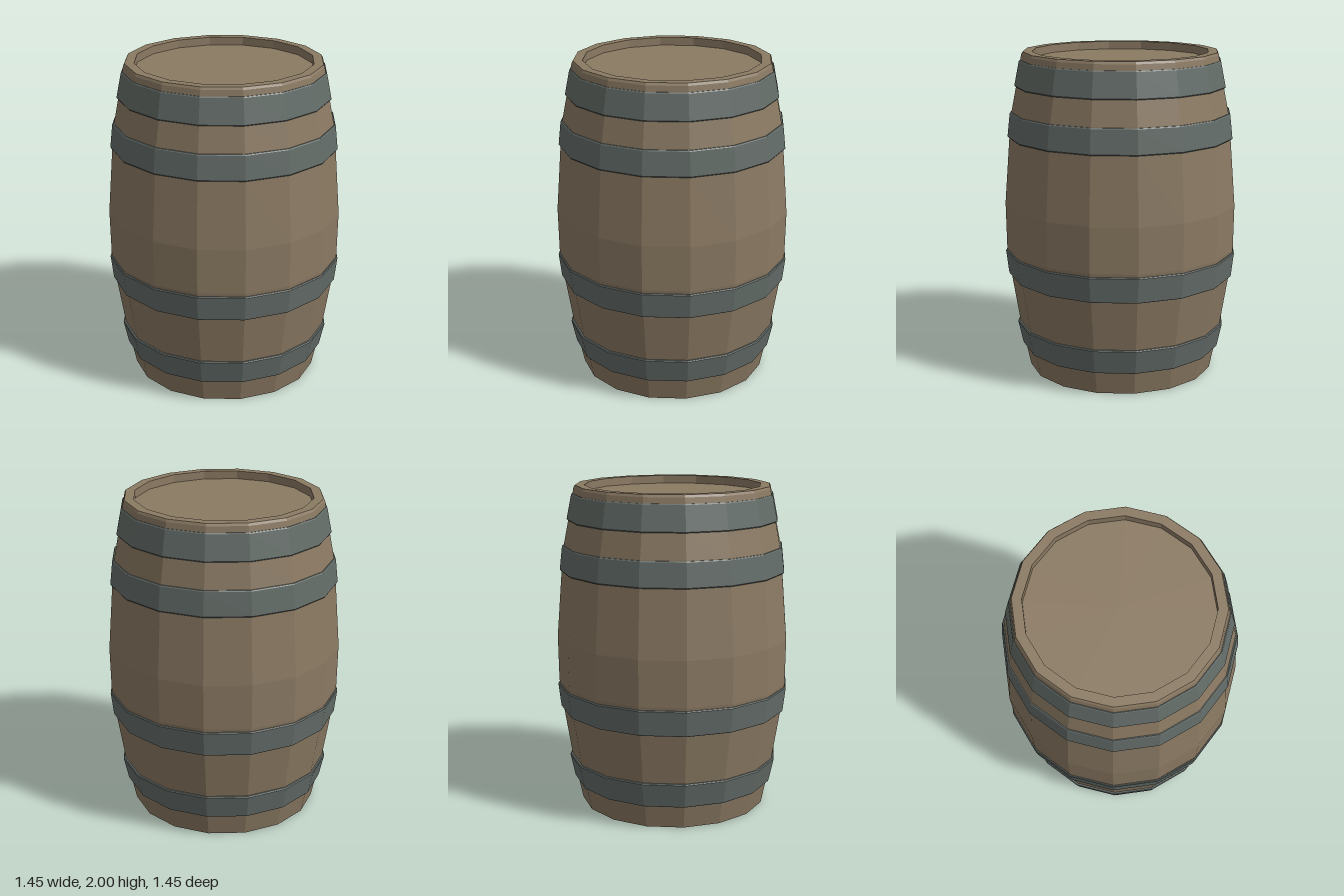
import * as THREE from 'three';

const SIDES = 16;

// Faceted ring or solid turned around y from [radius, height] pairs
function turned(name, profile, material) {
  const points = profile.map(([r, y]) => new THREE.Vector2(r, y));
  const geometry = new THREE.LatheGeometry(points, SIDES).toNonIndexed();
  geometry.computeVertexNormals();
  const mesh = new THREE.Mesh(geometry, material);
  mesh.name = name;
  return mesh;
}

export function createModel() {
  const wood = new THREE.MeshStandardMaterial({ color: 0x8b7a63 });
  wood.name = 'wood';
  const iron = new THREE.MeshStandardMaterial({ color: 0x646d69 });
  iron.name = 'iron';

  const barrel = new THREE.Group();
  barrel.name = 'barrel';

  // Bulging staves with flat bottom and raised rim around a sunken lid
  barrel.add(turned('staves', [
    [0, 0], [0.58, 0], [0.643, 0.3], [0.692, 0.61], [0.716, 0.79],
    [0.72, 1.07], [0.687, 1.48], [0.67, 1.64], [0.64, 1.79],
    [0.605, 1.985], [0.597, 2], [0.54, 2], [0.54, 1.95],
  ], wood));
  barrel.add(turned('lid', [[0.54, 1.95], [0, 1.95]], wood));

  // Hoops: bottom height, bottom radius, top height, top radius
  const hoops = [
    [0.145, 0.627, 0.3, 0.658],
    [0.612, 0.707, 0.77, 0.724],
    [1.48, 0.698, 1.635, 0.682],
    [1.79, 0.65, 1.95, 0.62],
  ];
  hoops.forEach(([y0, r0, y1, r1], i) => {
    barrel.add(turned(`hoop${i + 1}`, [
      [r0 - 0.04, y0], [r0 - 0.004, y0], [r0, y0 + 0.006],
      [r1, y1 - 0.006], [r1 - 0.005, y1], [r1 - 0.04, y1],
    ], iron));
  });

  return barrel;
}
